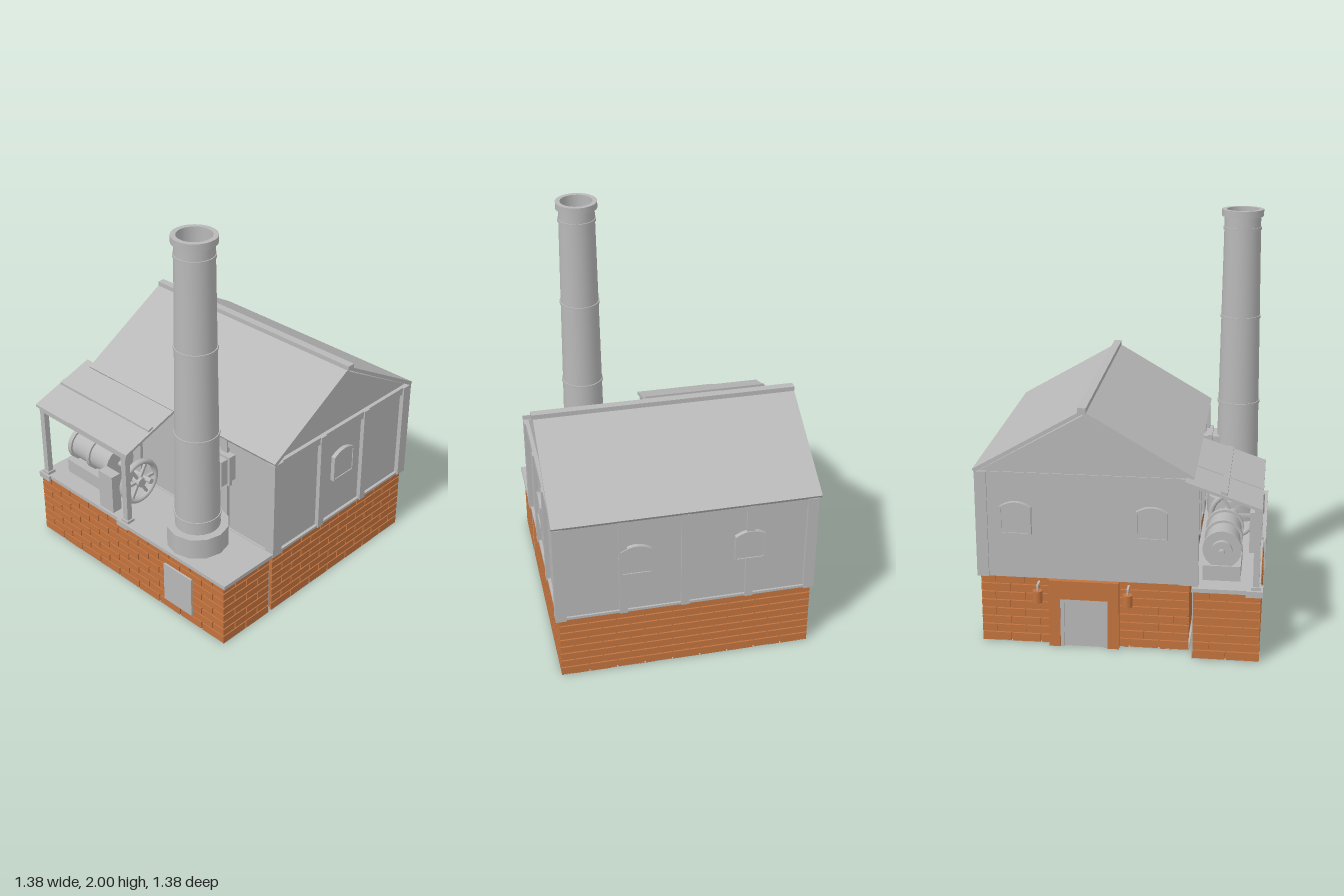
import * as THREE from 'three';

const grey = new THREE.MeshStandardMaterial({ color: 0xb8b8b8 });
grey.name = 'plain grey';
const brick = new THREE.MeshStandardMaterial({ color: 0xc2733e });
brick.name = 'brick orange';

function add(parent, geo, mat, name) {
  const mesh = new THREE.Mesh(geo, mat);
  mesh.name = name;
  parent.add(mesh);
  return mesh;
}

// Box given by its minimum and maximum on each axis
function box(parent, name, x0, x1, y0, y1, z0, z1, mat = grey) {
  const mesh = add(parent, new THREE.BoxGeometry(x1 - x0, y1 - y0, z1 - z0), mat, name);
  mesh.position.set((x0 + x1) / 2, (y0 + y1) / 2, (z0 + z1) / 2);
  return mesh;
}

function cylinderZ(parent, name, r, x, y, z0, z1, sides = 20) {
  const mesh = add(parent, new THREE.CylinderGeometry(r, r, z1 - z0, sides), grey, name);
  mesh.rotation.x = Math.PI / 2;
  mesh.position.set(x, y, (z0 + z1) / 2);
  return mesh;
}

function extrude(points, depth) {
  const shape = new THREE.Shape(points.map(([x, y]) => new THREE.Vector2(x, y)));
  return new THREE.ExtrudeGeometry(shape, { depth, bevelEnabled: false });
}

// Running bond brick face, laid out along local x, facing local +z
function brickFace(parent, length, count, x, z, turn) {
  const face = new THREE.Group();
  face.name = 'brickFace';
  const courses = 8, h = 0.345 / courses, step = length / count, gap = 0.007;
  for (let c = 0; c < courses; c++) {
    const shift = c % 2 ? step / 2 : 0;
    for (let i = 0; i <= count; i++) {
      const a = Math.max(0, i * step - shift);
      const b = Math.min(length, (i + 1) * step - shift);
      if (b - a < 0.01) continue;
      const l = a > 0 ? a + gap / 2 : a, r = b < length ? b - gap / 2 : b;
      box(face, 'brick', l - length / 2, r - length / 2, c * h + (c ? gap : 0), (c + 1) * h, -0.01, 0, brick);
    }
  }
  face.position.set(x, 0, z);
  face.rotation.y = turn;
  parent.add(face);
}

// Arched window: frame with a slightly recessed pane
function archWindow(parent, x, z, turn) {
  const arch = (w, y0, y1, top, Type) => {
    const s = new Type();
    s.moveTo(-w, y0);
    s.lineTo(w, y0);
    s.lineTo(w, y1);
    s.quadraticCurveTo(0, top, -w, y1);
    s.closePath();
    return s;
  };
  const g = new THREE.Group();
  g.name = 'window';
  const frame = arch(0.076, 0.572, 0.71, 0.762, THREE.Shape);
  frame.holes.push(arch(0.067, 0.581, 0.703, 0.752, THREE.Path));
  add(g, new THREE.ExtrudeGeometry(frame, { depth: 0.022, bevelEnabled: false }), grey, 'windowFrame');
  const pane = arch(0.067, 0.581, 0.703, 0.752, THREE.Shape);
  add(g, new THREE.ExtrudeGeometry(pane, { depth: 0.017, bevelEnabled: false }), grey, 'windowPane');
  g.position.set(x, 0, z);
  g.rotation.y = turn;
  parent.add(g);
}

export function createModel() {
  const model = new THREE.Group();
  model.name = 'boilerHouse';
  const H = Math.PI / 2;

  // Brick base of the hall
  const base = new THREE.Group();
  base.name = 'brickBase';
  model.add(base);
  box(base, 'hallCore', -0.33, 0.66, 0.003, 0.345, -0.59, 0.65, brick);
  box(base, 'hallFloor', -0.34, 0.67, 0, 0.003, -0.6, 0.66);
  brickFace(base, 1.01, 7, 0.165, 0.66, 0);
  brickFace(base, 1.01, 7, 0.165, -0.6, 2 * H);
  brickFace(base, 1.26, 9, 0.67, 0.03, H);

  // Brick base of the yard, plain on the side towards the hall
  box(base, 'yardCore', -0.67, -0.364, 0.003, 0.345, -0.67, 0.65, brick);
  box(base, 'yardInnerWall', -0.364, -0.359, 0, 0.345, -0.68, 0.66);
  box(base, 'yardFloor', -0.68, -0.364, 0, 0.003, -0.68, 0.66);
  brickFace(base, 0.316, 2, -0.522, 0.66, 0);
  brickFace(base, 0.316, 2, -0.522, -0.68, 2 * H);
  brickFace(base, 1.34, 9, -0.68, -0.01, -H);
  box(base, 'sideHatch', -0.69, -0.68, 0.055, 0.275, 0.26, 0.45);

  // Yard slab with corner caps
  box(model, 'yardSlab', -0.69, -0.355, 0.345, 0.365, 0, 0.675);
  box(model, 'shedSlab', -0.677, -0.355, 0.345, 0.365, -0.682, 0);
  box(model, 'slabCorner', -0.69, -0.61, 0.335, 0.366, -0.69, -0.677);
  for (const z of [-0.69, -0.08]) box(model, 'slabCorner', -0.69, -0.676, 0.335, 0.366, z, z + 0.08);

  // Upper walls with corner posts, beams and pilasters
  const hall = new THREE.Group();
  hall.name = 'upperWalls';
  model.add(hall);
  box(hall, 'wallBody', -0.335, 0.665, 0.345, 0.88, -0.605, 0.655);
  for (const [x0, x1] of [[-0.355, -0.295], [0.628, 0.685]]) {
    box(hall, 'cornerPost', x0, x1, 0.345, 0.88, 0.625, 0.678);
    box(hall, 'cornerPost', x0, x1, 0.345, 0.88, -0.613, -0.56);
  }
  for (const x of [0, 0.33]) box(hall, 'frontPilaster', x - 0.02, x + 0.02, 0.345, 0.88, 0.65, 0.677);
  box(hall, 'frontBeam', -0.3, 0.63, 0.84, 0.88, 0.65, 0.67);
  box(hall, 'frontSill', -0.3, 0.63, 0.345, 0.358, 0.65, 0.67);
  for (const side of [-1, 1]) {
    const xs = (a, b) => side > 0 ? [0.165 + a, 0.165 + b] : [0.165 - b, 0.165 - a];
    const [p0, p1] = xs(0.49, 0.517), [b0, b1] = xs(0.49, 0.51);
    for (const [z, cut] of [[0.345, false], [0.04, false], [-0.28, true]]) {
      if (cut) {
        box(hall, 'sidePilaster', p0, p1, 0.345, 0.575, z - 0.02, z + 0.02);
        box(hall, 'sidePilaster', p0, p1, 0.73, 0.88, z - 0.02, z + 0.02);
      } else box(hall, 'sidePilaster', p0, p1, 0.345, 0.88, z - 0.02, z + 0.02);
    }
    box(hall, 'sideBeam', b0, b1, 0.84, 0.88, -0.57, 0.63);
    box(hall, 'sideSill', b0, b1, 0.345, 0.358, -0.57, 0.63);
  }
  archWindow(hall, 0.165, 0.655, 0);
  for (const z of [0.28, -0.28]) archWindow(hall, 0.665, z, H);
  for (const x of [-0.16, 0.49]) archWindow(hall, x, -0.605, 2 * H);

  // Gable ends
  const gable = [[-0.335, 0.88], [0.665, 0.88], [0.165, 1.168]];
  add(hall, extrude(gable, 0.02), grey, 'frontGable').position.z = 0.63;
  add(hall, extrude(gable, 0.02), grey, 'backGable').position.z = -0.6;

  // Roof slopes and ridge cap
  const roof = new THREE.Group();
  roof.name = 'roof';
  model.add(roof);
  const slope = (s) => [[0, 1.18], [s * 0.515, 0.878], [s * 0.525, 0.895], [0, 1.2]];
  for (const s of [-1, 1]) {
    const pts = slope(s);
    if (s > 0) pts.reverse();
    add(roof, extrude(pts, 1.305), grey, 'roofSlope').position.set(0.165, 0, -0.625);
  }
  box(roof, 'ridgeCap', 0.145, 0.185, 1.188, 1.212, -0.625, 0.687);

  // Chimney: plinth, tapered hollow shaft with bands and lip
  const chimney = new THREE.Group();
  chimney.name = 'chimney';
  chimney.position.set(-0.52, 0, 0.33);
  model.add(chimney);
  const plinth = add(chimney, new THREE.CylinderGeometry(0.155, 0.155, 0.11, 12), grey, 'chimneyPlinth');
  plinth.position.y = 0.42;
  const profile = [[0.112, 0.47], [0.092, 1.965], [0.106, 1.966], [0.106, 2], [0.082, 2], [0.082, 1.75], [0, 1.75]];
  for (let i = 0; i < profile.length - 1; i++) {
    const pts = [profile[i], profile[i + 1]].map(([r, y]) => new THREE.Vector2(r, y));
    add(chimney, new THREE.LatheGeometry(pts, 24), grey, 'chimneyShaft');
  }
  for (const y of [0.54, 0.995, 1.45, 1.905]) {
    const r = 0.117 - (y - 0.47) * 0.0134;
    add(chimney, new THREE.CylinderGeometry(r, r, 0.014, 24, 1), grey, 'chimneyBand').position.y = y;
  }
  // Flue into the hall
  box(model, 'flue', -0.43, -0.335, 0.67, 0.81, 0.26, 0.405);
  box(model, 'flueFlange', -0.39, -0.37, 0.658, 0.822, 0.247, 0.417);

  // Lean-to shelter on posts
  const shed = new THREE.Group();
  shed.name = 'shelter';
  model.add(shed);
  for (const z of [-0.65, -0.03]) {
    box(shed, 'shelterPost', -0.672, -0.642, 0.36, 0.765, z - 0.016, z + 0.016);
    box(shed, 'postFoot', -0.68, -0.634, 0.36, 0.38, z - 0.024, z + 0.024);
  }
  box(shed, 'shelterPost', -0.385, -0.355, 0.36, 0.86, -0.666, -0.634);
  box(shed, 'eaveBeam', -0.672, -0.642, 0.745, 0.768, -0.67, -0.01);
  const sheet = (x0, x1, lift, thick) => {
    const y = (x) => 0.763 + (x + 0.677) * 0.335 + lift;
    return [[x0, y(x0)], [x1, y(x1)], [x1, y(x1) + thick], [x0, y(x0) + thick]];
  };
  add(shed, extrude(sheet(-0.677, -0.32, 0, 0.014), 0.26), grey, 'roofSheet').position.z = -0.69;
  add(shed, extrude(sheet(-0.677, -0.355, 0.004, 0.014), 0.43), grey, 'roofSheet').position.z = -0.43;
  add(shed, extrude(sheet(-0.515, -0.485, 0.01, 0.018), 0.67), grey, 'roofBatten').position.z = -0.68;

  // Motor, shaft and spoked flywheel
  const engine = new THREE.Group();
  engine.name = 'engine';
  model.add(engine);
  const ex = -0.49, ey = 0.52;
  box(engine, 'motorBed', -0.58, -0.4, 0.365, 0.44, -0.58, -0.27);
  cylinderZ(engine, 'motorBody', 0.082, ex, ey, -0.56, -0.28);
  for (const z of [-0.57, -0.43, -0.29]) cylinderZ(engine, 'motorRing', 0.093, ex, ey, z, z + 0.025);
  cylinderZ(engine, 'motorCap', 0.05, ex, ey, -0.595, -0.56);
  cylinderZ(engine, 'shaft', 0.015, ex, ey, -0.62, -0.03, 12);
  const wheel = new THREE.Group();
  wheel.name = 'flywheel';
  wheel.position.set(ex - 0.03, ey - 0.01, -0.09);
  engine.add(wheel);
  const rim = add(wheel, new THREE.TorusGeometry(0.11, 0.014, 8, 28), grey, 'wheelRim');
  rim.scale.z = 1.4;
  for (let i = 0; i < 3; i++) {
    add(wheel, new THREE.BoxGeometry(0.21, 0.014, 0.014), grey, 'wheelSpoke').rotation.z = i * Math.PI / 3;
  }
  cylinderZ(wheel, 'wheelHub', 0.026, 0, 0, -0.025, 0.025, 14);
  box(engine, 'controlBox', -0.665, -0.61, 0.365, 0.58, -0.23, -0.13);

  // Furnace doorway at the back: brick surround, frame and door
  const door = new THREE.Group();
  door.name = 'doorway';
  model.add(door);
  box(door, 'doorJamb', -0.005, 0.05, 0, 0.345, -0.63, -0.6, brick);
  box(door, 'doorJamb', 0.28, 0.335, 0, 0.345, -0.63, -0.6, brick);
  box(door, 'doorLintel', 0.05, 0.28, 0.25, 0.345, -0.63, -0.6, brick);
  box(door, 'doorPanel', 0.065, 0.265, 0, 0.235, -0.614, -0.6);
  for (const x of [0.05, 0.262]) box(door, 'doorFrame', x, x + 0.018, 0, 0.25, -0.625, -0.6);
  box(door, 'doorFrameTop', 0.05, 0.28, 0.232, 0.25, -0.628, -0.6);

  // Hanging lamps beside the doorway
  for (const x of [-0.05, 0.385]) {
    const lamp = add(door, new THREE.CylinderGeometry(0.024, 0.024, 0.06, 14), brick, 'lamp');
    lamp.position.set(x, 0.27, -0.65);
    box(door, 'lampArm', x - 0.005, x + 0.005, 0.318, 0.328, -0.655, -0.595);
    box(door, 'lampHook', x - 0.004, x + 0.004, 0.298, 0.32, -0.655, -0.646);
  }
  return model;
}
